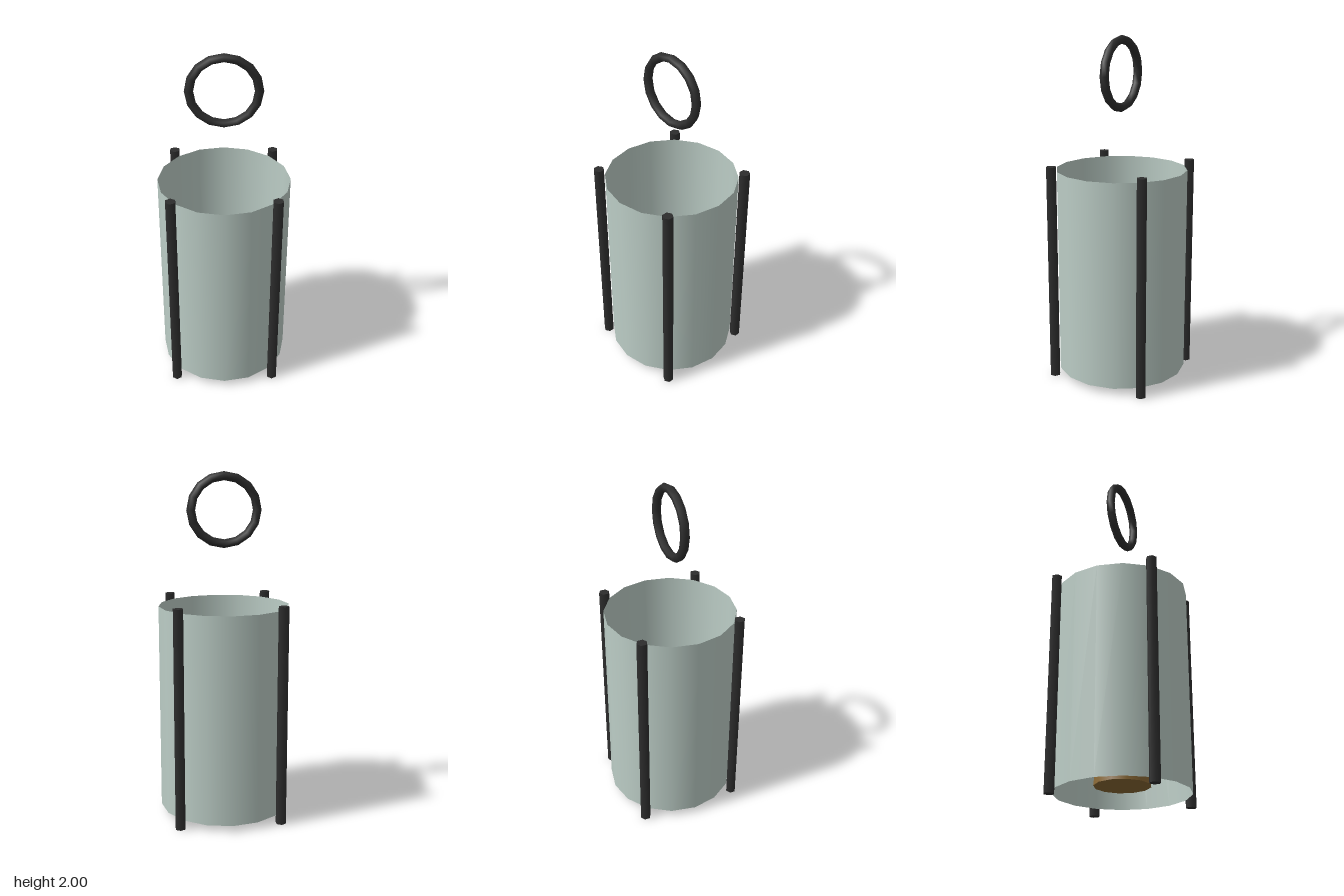
import * as THREE from 'three';

export function createModel() {
  const group = new THREE.Group();
  const iron = new THREE.MeshStandardMaterial({ name: 'black iron', color: 0x2d2d2d });
  const glass = new THREE.MeshStandardMaterial({ name: 'pale glass', color: 0xbccdc6, side: THREE.DoubleSide });
  const brass = new THREE.MeshStandardMaterial({ name: 'brass', color: 0x8a6834 });
  const glow = new THREE.MeshStandardMaterial({ name: 'warm glow', color: 0xe6b870 });

  const add = (name, geometry, material, x, y, z) => {
    const mesh = new THREE.Mesh(geometry, material);
    mesh.name = name;
    mesh.position.set(x, y, z);
    group.add(mesh);
    return mesh;
  };

  // Open glass chimney
  add('glassCylinder', new THREE.CylinderGeometry(0.38, 0.38, 1.205, 16, 1, true), glass, 0, 0.64, 0);

  // Four hexagonal corner posts
  const post = new THREE.CylinderGeometry(0.031, 0.031, 1.275, 6);
  for (const x of [-1, 1]) {
    for (const z of [-1, 1]) {
      add((z > 0 ? 'front' : 'back') + (x > 0 ? 'Left' : 'Right') + 'Post', post, iron, x * 0.292, 0.6375, z * 0.292);
    }
  }

  // Tapered burner with a flame on top
  add('burner', new THREE.CylinderGeometry(0.127, 0.158, 0.28, 12), brass, 0, 0.22, 0);
  const flame = add('flame', new THREE.SphereGeometry(0.113, 12, 10), glow, 0, 0.5, 0);
  flame.scale.y = 1.5;

  // Carrying ring
  add('carryRing', new THREE.TorusGeometry(0.19, 0.025, 6, 16), iron, 0, 1.785, 0);

  return group;
}
